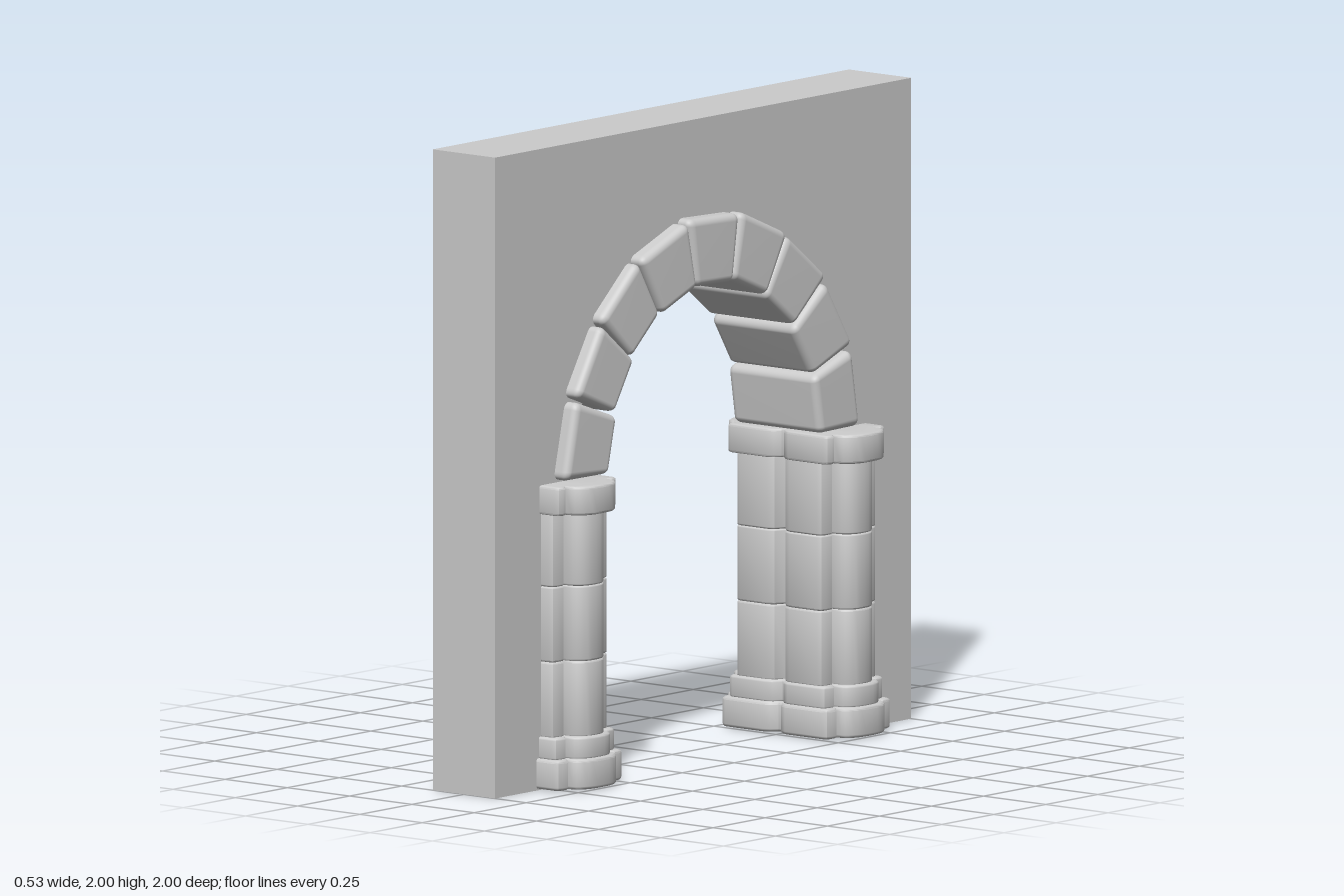
import * as THREE from 'three';
import { mergeVertices, toCreasedNormals } from 'three/addons/utils/BufferGeometryUtils.js';
import { RoundedBoxGeometry } from 'three/addons/geometries/RoundedBoxGeometry.js';

const stoneMat = new THREE.MeshStandardMaterial({ color: 0xcccccc });
const SPRING = 0.95; // height where the arch starts

let seed = 7;
const jitter = (amount) => {
  seed = (seed * 16807) % 2147483647;
  return (seed / 2147483647 - 0.5) * 2 * amount;
};

function addMesh(parent, name, geometry) {
  const mesh = new THREE.Mesh(geometry, stoneMat);
  mesh.name = name;
  parent.add(mesh);
  return mesh;
}

// Slab with an arched doorway cut from its lower edge
function wallGeometry() {
  const s = new THREE.Shape();
  s.moveTo(-1, 0);
  s.lineTo(-0.62, 0);
  s.lineTo(-0.62, SPRING);
  s.absellipse(0, SPRING, 0.62, 0.66, Math.PI, 0, true);
  s.lineTo(0.62, 0);
  s.lineTo(1, 0);
  s.lineTo(1, 2);
  s.lineTo(-1, 2);
  const g = new THREE.ExtrudeGeometry(s, { depth: 0.25, bevelEnabled: false, curveSegments: 32 });
  return g.translate(0, 0, -0.125).rotateY(Math.PI / 2);
}

// Pier plan: square corners, a half column at each end, a groove mid-jamb
function pierPlan({ corner, half, tip, col, groove }) {
  const c = 0.02;
  const quarter = [[0.006, half - groove], [0.022, half - 0.01], [0.045, half],
    [corner - c, half], [corner - c * 0.3, half - c * 0.3], [corner, half - c],
    [corner, col + 0.012], [corner - 0.012, col]];
  for (let i = 1; i <= 8; i++) {
    const a = (i / 8) * Math.PI / 2;
    quarter.push([corner + (tip - corner) * Math.sin(a), col * Math.cos(a) ** 0.8]);
  }
  quarter[quarter.length - 1][1] = 0;
  const right = [...quarter, ...quarter.slice(0, -1).reverse().map(([x, z]) => [x, -z])];
  const left = right.map(([x, z]) => [-x, -z]);
  return new THREE.Shape([...right, ...left].reverse().map(([x, z]) => new THREE.Vector2(x, z)));
}

function courseGeometry(plan, y0, y1, bevel) {
  const g = new THREE.ExtrudeGeometry(pierPlan(plan), {
    depth: y1 - y0 - 2 * bevel, bevelThickness: bevel, bevelSize: bevel,
    bevelOffset: -bevel, bevelSegments: 3,
  });
  g.rotateX(-Math.PI / 2).translate(0, y0 + bevel, 0);
  return toCreasedNormals(g, 0.7);
}

function createPier() {
  const pier = new THREE.Group();
  const shaft = { corner: 0.175, half: 0.135, tip: 0.235, col: 0.073, groove: 0.045 };
  const plinth = { corner: 0.215, half: 0.157, tip: 0.265, col: 0.1, groove: 0.03 };
  const baseStep = { corner: 0.195, half: 0.145, tip: 0.25, col: 0.088, groove: 0.035 };
  const capital = { corner: 0.205, half: 0.142, tip: 0.265, col: 0.1, groove: 0.03 };
  addMesh(pier, 'plinth', courseGeometry(plinth, 0.005, 0.1, 0.01));
  addMesh(pier, 'baseStep', courseGeometry(baseStep, 0.095, 0.167, 0.009));
  const joints = [0.163, 0.4, 0.635, 0.865];
  for (let i = 0; i < 3; i++) {
    addMesh(pier, 'shaftCourse', courseGeometry(shaft, joints[i], joints[i + 1], 0.006));
  }
  addMesh(pier, 'capital', courseGeometry(capital, 0.86, SPRING, 0.008));
  return pier;
}

// Rounded wedge stone, wider at its outer face
function archStoneGeometry() {
  let g = new RoundedBoxGeometry(0.214, 0.205 + jitter(0.01), 0.345 + jitter(0.012), 4, 0.024);
  const p = g.attributes.position;
  const lean = jitter(0.06);
  for (let i = 0; i < p.count; i++) {
    const y = p.getY(i);
    p.setX(i, p.getX(i) * (1 + y / 0.64));
    p.setY(i, y + p.getX(i) * lean);
  }
  g.deleteAttribute('normal');
  g.deleteAttribute('uv');
  g = mergeVertices(g, 1e-4);
  g.computeVertexNormals();
  return g.rotateY(Math.PI / 2);
}

export function createModel() {
  const model = new THREE.Group();
  model.name = 'stoneArchway';
  addMesh(model, 'wall', wallGeometry());

  // Piers at both sides of the opening
  for (const side of [1, -1]) {
    const pier = createPier();
    pier.name = side > 0 ? 'frontPier' : 'backPier';
    pier.position.z = side * 0.645;
    model.add(pier);
  }

  // Ring of nine stones
  const arch = new THREE.Group();
  arch.name = 'archRing';
  for (let i = 0; i < 9; i++) {
    const a = ((i - 4) * 20 * Math.PI) / 180;
    const stone = addMesh(arch, i === 4 ? 'keystone' : 'archStone', archStoneGeometry());
    stone.position.set(jitter(0.005), SPRING + 0.64 * Math.cos(a), 0.597 * Math.sin(a));
    stone.rotation.x = a + jitter(0.015);
  }
  model.add(arch);
  return model;
}
